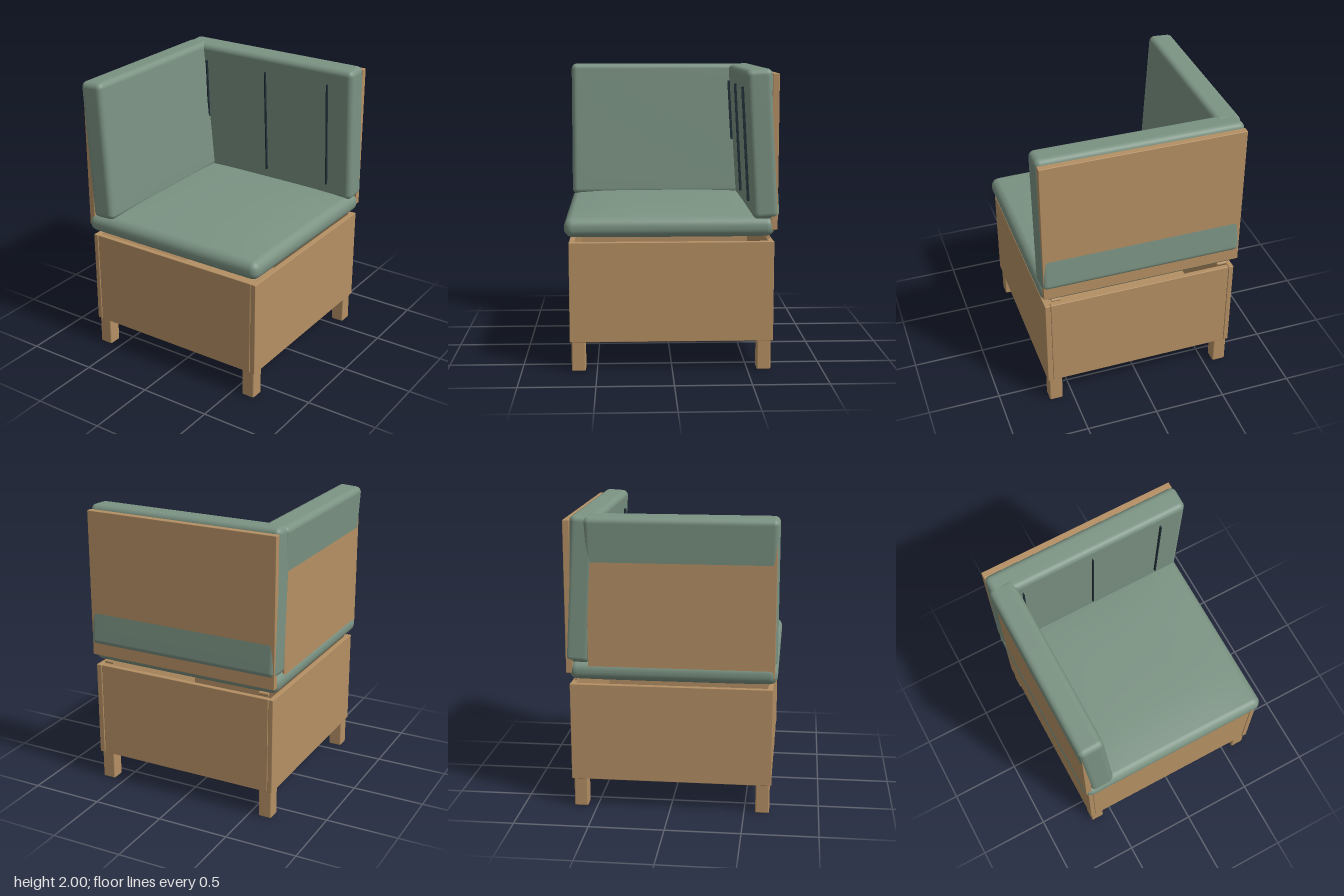
import * as THREE from 'three';
import { mergeVertices } from 'three/addons/utils/BufferGeometryUtils.js';
import { RoundedBoxGeometry } from 'three/addons/geometries/RoundedBoxGeometry.js';

const material = (name, color) => {
  const m = new THREE.MeshStandardMaterial({ color });
  m.name = name;
  return m;
};

// Soft padded block: rounded edges, with optional swelling of the top and bottom faces
function cushionGeometry(w, h, d, r, puffTop = 0, puffBottom = 0) {
  const N = 20, edge = 5;
  const geo = new THREE.BoxGeometry(1, 1, 1, N, N, N);
  geo.deleteAttribute('uv');
  geo.deleteAttribute('normal');
  const pos = geo.attributes.position;
  // pack the outer rows of vertices into the rounded rim
  const spread = (t, half) => {
    const i = Math.abs(t) * N, flat = N / 2 - edge;
    const s = i <= flat ? (i / flat) * (half - r) : half - r + r * (i - flat) / edge;
    return Math.sign(t) * s;
  };
  const half = new THREE.Vector3(w / 2, h / 2, d / 2);
  const core = half.clone().subScalar(r);
  const p = new THREE.Vector3(), inner = new THREE.Vector3();
  for (let i = 0; i < pos.count; i++) {
    p.fromBufferAttribute(pos, i);
    p.set(spread(p.x, half.x), spread(p.y, half.y), spread(p.z, half.z));
    inner.copy(p).clamp(core.clone().negate(), core);
    p.sub(inner).setLength(r).add(inner);
    const u = p.x / half.x, v = p.z / half.z;
    const swell = Math.max(0, (1 - u ** 4) * (1 - v ** 4));
    p.y += swell * (p.y > 0 ? puffTop : -puffBottom) * Math.abs(p.y) / half.y;
    pos.setXYZ(i, p.x, p.y, p.z);
  }
  const merged = mergeVertices(geo, 1e-5);
  merged.computeVertexNormals();
  return merged;
}

export function createModel() {
  const model = new THREE.Group();
  model.name = 'cornerSeat';
  const wood = material('wood', 0xb59064);
  const fabric = material('greenFabric', 0x7b9383);
  const dark = material('darkSeam', 0x1f2d36);

  const add = (name, geo, mat, x, y, z, parent = model) => {
    const mesh = new THREE.Mesh(geo, mat);
    mesh.name = name;
    mesh.position.set(x, y, z);
    parent.add(mesh);
    return mesh;
  };
  // Board given by its limits on each axis
  const board = (name, x0, x1, y0, y1, z0, z1, r = 0.004) =>
    add(name, new RoundedBoxGeometry(x1 - x0, y1 - y0, z1 - z0, 2, r), wood,
      (x0 + x1) / 2, (y0 + y1) / 2, (z0 + z1) / 2);

  // Base box: full side boards, with front and back boards set between them
  board('baseRightSide', -0.67, -0.636, 0.2, 0.87, -0.67, 0.68);
  board('baseLeftSide', 0.642, 0.68, 0.2, 0.87, -0.67, 0.68);
  board('baseFront', -0.634, 0.64, 0.2, 0.87, 0.643, 0.678);
  board('baseBack', -0.634, 0.64, 0.2, 0.87, -0.668, -0.633);
  board('baseFloor', -0.65, 0.66, 0.203, 0.235, -0.65, 0.66);

  // Legs
  for (const x of [-0.615, 0.622])
    for (const z of [-0.61, 0.622])
      add('leg', new RoundedBoxGeometry(0.094, 0.21, 0.094, 2, 0.01), wood, x, 0.105, z);

  // Short pegs under the back of the seat
  for (const x of [-0.59, 0.595]) {
    const peg = add('peg', new THREE.CylinderGeometry(0.012, 0.012, 0.065, 12), wood, x, 0.892, -0.635);
    peg.rotation.z = Math.PI / 2;
  }

  // Seat cushion and its dark underside
  add('seatCushion', cushionGeometry(1.395, 0.125, 1.38, 0.055, 0.032, 0.017), fabric, 0.003, 0.968, 0.018);
  add('seatUnderside', new THREE.BoxGeometry(1.1, 0.008, 1.1), dark, 0, 0.891, 0.02);

  // Back rest: upright board with a tilted cushion pushed through it
  board('backPanel', -0.685, 0.69, 0.95, 1.967, -0.688, -0.643);
  const back = new THREE.Group();
  back.name = 'backRest';
  back.position.set(0.005, 1.508, -0.585);
  back.rotation.x = 0.06;
  model.add(back);
  add('backCushion', cushionGeometry(1.39, 0.975, 0.175, 0.04), fabric, 0, 0, 0, back);
  for (const x of [-0.506, 0, 0.506])
    add('backSeam', new THREE.BoxGeometry(0.008, 0.76, 0.03), dark, x, -0.008, 0.09, back);

  // Side rest on the right, leaning outward
  board('sidePanel', -0.688, -0.645, 0.95, 1.967, -0.54, 0.69);
  const side = add('sideCushion', cushionGeometry(0.175, 0.975, 1.26, 0.04), fabric, -0.589, 1.508, 0.073);
  side.rotation.z = 0.06;

  return model;
}
